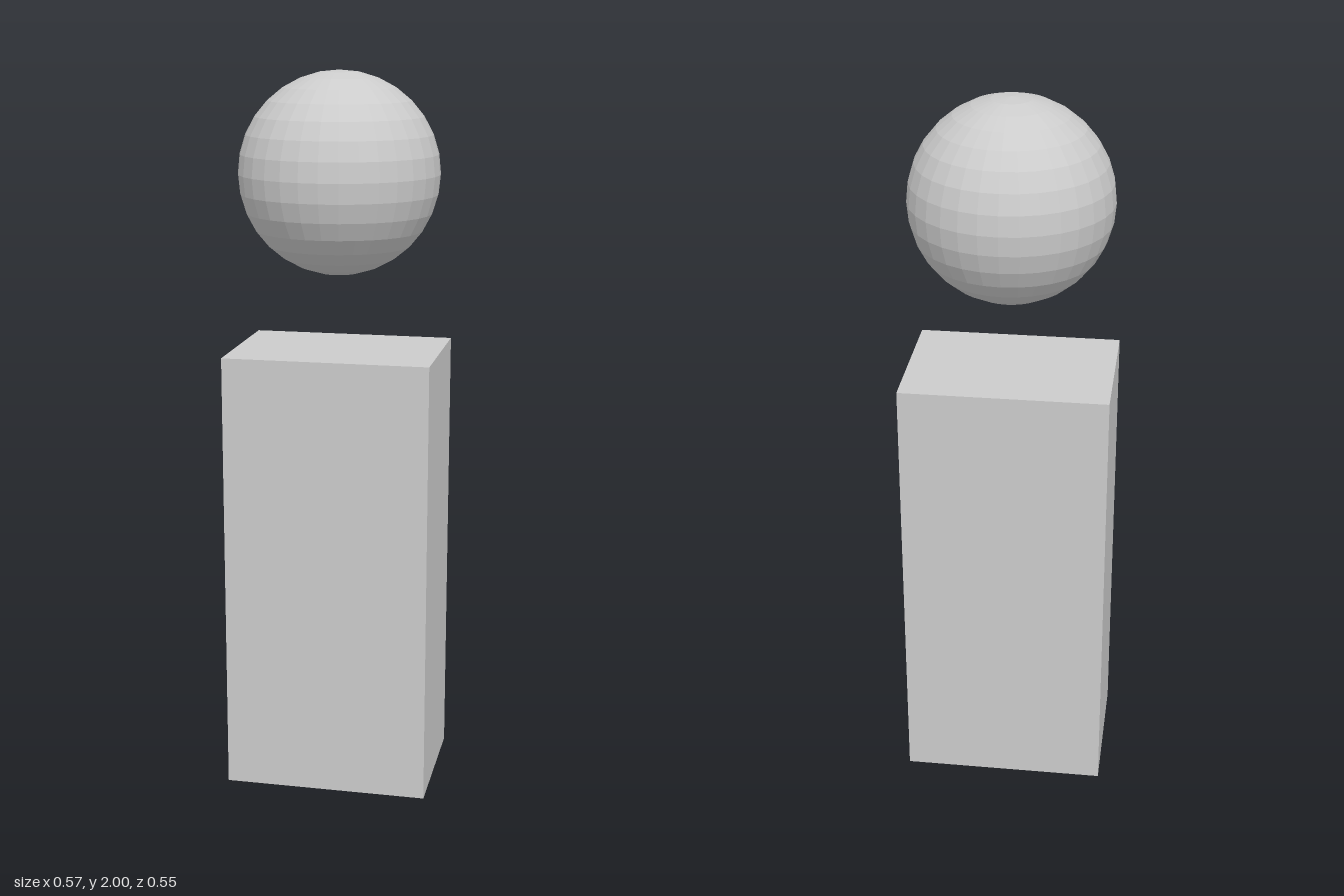
import * as THREE from 'three';

export function createModel() {
  const model = new THREE.Group();
  const material = new THREE.MeshStandardMaterial({ color: 0xcccccc, flatShading: true });

  const addPart = (name, geometry, y) => {
    const mesh = new THREE.Mesh(geometry, material);
    mesh.name = name;
    mesh.position.y = y;
    model.add(mesh);
  };

  // Upright block standing on the ground
  const height = 1.243;
  addPart('body', new THREE.BoxGeometry(0.568, height, 0.406), height / 2);

  // Faceted ball floating above the block
  const radius = 0.275;
  addPart('head', new THREE.SphereGeometry(radius, 32, 16), 2 - radius);

  return model;
}
